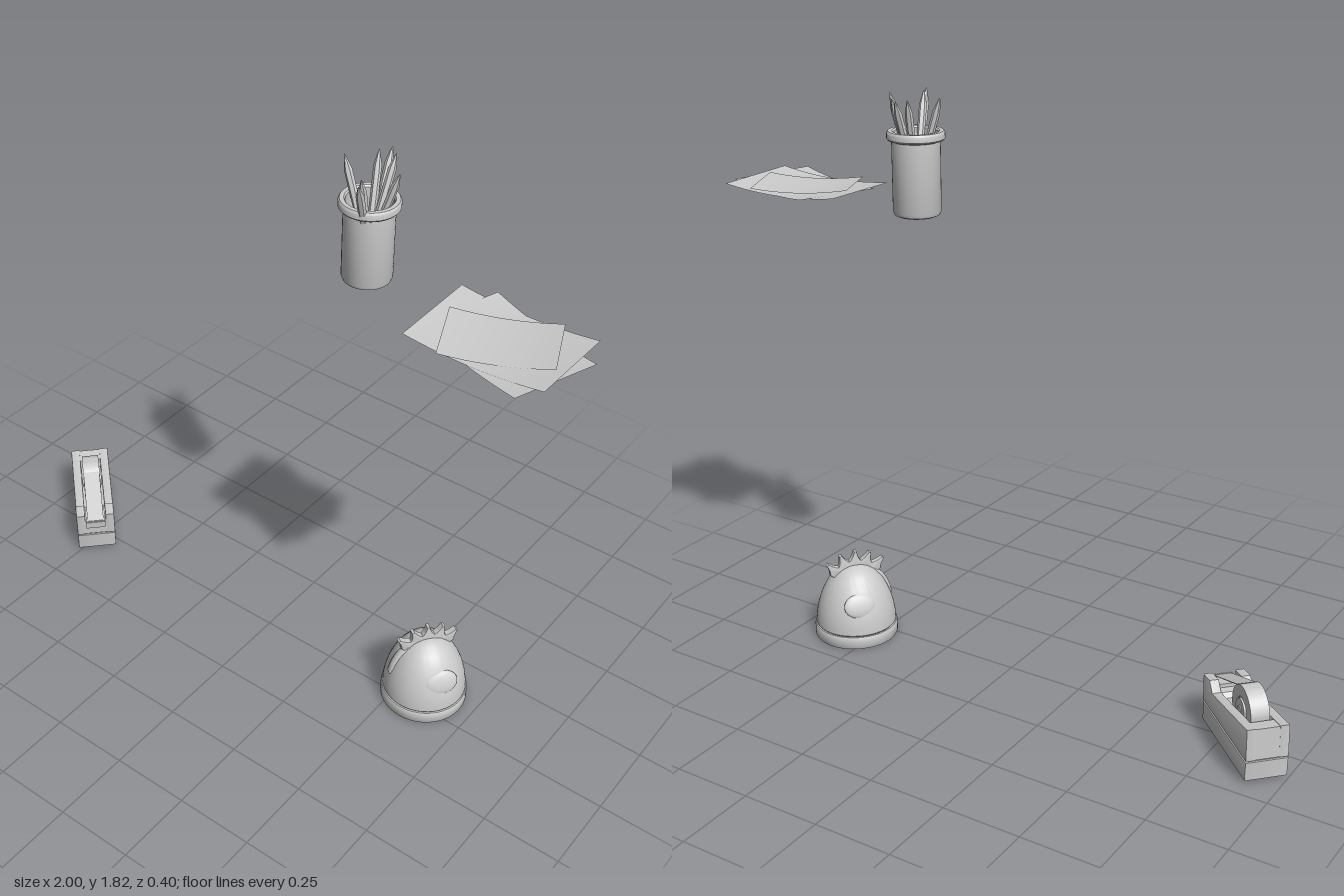
import * as THREE from 'three';
import { toCreasedNormals } from 'three/addons/utils/BufferGeometryUtils.js';

const material = new THREE.MeshStandardMaterial({ color: 0xcccccc });
const thin = new THREE.MeshStandardMaterial({ color: 0xcccccc, side: THREE.DoubleSide });
const v2 = ([x, y]) => new THREE.Vector2(x, y);

function add(parent, name, geometry, pos = [0, 0, 0], mat = material) {
  const mesh = new THREE.Mesh(geometry, mat);
  mesh.name = name;
  mesh.position.set(...pos);
  parent.add(mesh);
  return mesh;
}

function subgroup(parent, name, pos, turn = 0) {
  const g = new THREE.Group();
  g.name = name;
  g.position.set(...pos);
  g.rotation.y = turn;
  parent.add(g);
  return g;
}

const lathe = (points, n = 40) => toCreasedNormals(new THREE.LatheGeometry(points.map(v2), n), 0.6);

// Side profile extruded to a width centred on z = 0
function slab(shape, width, bevel = 0) {
  const g = new THREE.ExtrudeGeometry(shape, {
    depth: width - 2 * bevel, bevelEnabled: bevel > 0, bevelSize: bevel, bevelOffset: -bevel,
    bevelThickness: bevel, bevelSegments: 2, curveSegments: 10,
  });
  g.translate(0, 0, -width / 2 + bevel);
  return toCreasedNormals(g, 0.6);
}
const poly = (points) => new THREE.Shape(points.map(v2));

// Tape dispenser: local +x is the cutting end
function tapeDispenser(root) {
  const g = subgroup(root, 'tapeDispenser', [-0.828, 0, -0.035], -0.765);
  add(g, 'dispenserBase', slab(poly([[-0.174, 0.013], [0.168, 0.013], [0.172, 0.072], [-0.176, 0.072]]), 0.131, 0.003));
  add(g, 'dispenserSeam', new THREE.BoxGeometry(0.335, 0.012, 0.122), [-0.002, 0.075, 0]);
  add(g, 'dispenserFloor', slab(poly([[-0.174, 0.077], [0.17, 0.077], [0.17, 0.09], [-0.174, 0.09]]), 0.126));
  const wall = poly([[-0.176, 0.077], [0.172, 0.077], [0.176, 0.162], [0.125, 0.168], [0.1, 0.138],
    [0.06, 0.143], [-0.173, 0.178]]);
  for (const s of [-1, 1]) add(g, 'dispenserWall', slab(wall, 0.03, 0.003), [0, 0, s * 0.0505]);
  add(g, 'dispenserBack', slab(poly([[-0.175, 0.08], [-0.123, 0.08], [-0.123, 0.169], [-0.172, 0.176]]), 0.08));
  add(g, 'dispenserFront', slab(poly([[0.075, 0.08], [0.172, 0.08], [0.174, 0.14], [0.1, 0.137], [0.085, 0.125]]), 0.08));

  // Cutter blade holder
  add(g, 'cutter', slab(poly([[0.125, 0.135], [0.174, 0.112], [0.19, 0.118], [0.192, 0.144], [0.125, 0.15]]), 0.066));
  const teeth = 10;
  for (let i = 0; i < teeth; i++) {
    const tooth = add(g, 'cutterTooth', new THREE.ConeGeometry(0.004, 0.008, 4), [0.19, 0.146, (i - (teeth - 1) / 2) * 0.0062]);
    tooth.rotation.z = -0.4;
  }

  // Tape roll with open core and hub
  const roll = lathe([[0.038, -0.029], [0.073, -0.029], [0.073, 0.029], [0.038, 0.029], [0.038, -0.029]], 48);
  roll.rotateX(Math.PI / 2);
  add(g, 'tapeRoll', roll, [-0.04, 0.162, 0]);
  const hub = lathe([[0.014, -0.034], [0.034, -0.034], [0.034, -0.028], [0.038, -0.026], [0.038, 0.026],
    [0.034, 0.028], [0.034, 0.034], [0.014, 0.034], [0.014, -0.034]], 32);
  hub.rotateX(Math.PI / 2);
  add(g, 'rollHub', hub, [-0.04, 0.162, 0]);
  const axle = new THREE.CylinderGeometry(0.014, 0.014, 0.074, 20);
  axle.rotateX(Math.PI / 2);
  add(g, 'rollAxle', axle, [-0.04, 0.162, 0]);
  // Loose tape from the roll to the cutter
  add(g, 'tapeStrip', slab(poly([[0.006, 0.217], [0.186, 0.145], [0.186, 0.147], [0.007, 0.219]]), 0.056));
}

// Kitchen timer in the shape of a hen: local +x is the tail, -x the face
function henTimer(root) {
  const g = subgroup(root, 'henTimer', [0.575, 0, -0.0625], 0.93);
  add(g, 'timerBase', lathe([[0, 0], [0.135, 0], [0.137, 0.004], [0.137, 0.036], [0.134, 0.041], [0, 0.041]], 56));
  add(g, 'timerDome', lathe([[0.126, 0.038], [0.132, 0.046], [0.131, 0.07], [0.126, 0.1], [0.118, 0.13], [0.106, 0.16],
    [0.09, 0.19], [0.068, 0.218], [0.044, 0.236], [0.022, 0.244], [0, 0.246]], 56));

  // Comb with five fanned spikes
  const comb = new THREE.Shape();
  const spikes = 5;
  const at = (i, r) => {
    const a = Math.PI / 2 + 0.92 - (i / spikes) * 1.84;
    return [Math.cos(a) * r * 1.02, 0.155 + Math.sin(a) * r];
  };
  comb.moveTo(...at(0, 0.07));
  comb.lineTo(...at(0, 0.108));
  for (let i = 0; i < spikes; i++) {
    comb.quadraticCurveTo(...at(i + 0.25, 0.113), ...at(i + 0.38, 0.138));
    comb.lineTo(...at(i + 0.55, 0.138));
    comb.quadraticCurveTo(...at(i + 0.72, 0.113), ...at(i + 1, 0.106));
  }
  comb.lineTo(...at(spikes, 0.07));
  comb.closePath();
  add(g, 'comb', slab(comb, 0.022, 0.004));

  // Beak ridge running down the face
  const ridge = new THREE.CatmullRomCurve3([[-0.06, 0.222], [-0.09, 0.19], [-0.107, 0.158], [-0.116, 0.125]]
    .map(([x, y]) => new THREE.Vector3(x, y, 0)));
  const beak = new THREE.TubeGeometry(ridge, 16, 0.009, 10);
  beak.scale(1, 1, 1.5);
  add(g, 'beak', beak);
  add(g, 'beakTip', new THREE.SphereGeometry(0.011, 14, 10), [-0.115, 0.125, 0]).scale.set(0.8, 1, 1.2);

  // Shallow wings on both sides
  for (const s of [-1, 1]) {
    const wing = add(g, 'wing', new THREE.SphereGeometry(0.05, 24, 16), [0.015, 0.142, s * 0.104]);
    wing.scale.set(1.05, 0.8, 0.24);
    wing.rotation.x = -s * 0.38;
  }
}

// Pencil pot with rolled rim, recessed foot and pencils
function pencilPot(root) {
  const g = subgroup(root, 'pencilPot', [0.295, 1.463, -0.055]);
  add(g, 'pot', lathe([[0, 0.012], [0.05, 0.012], [0.052, 0], [0.06, 0], [0.068, 0.004], [0.072, 0.014], [0.072, 0.222],
    [0.082, 0.225], [0.086, 0.23], [0.086, 0.246], [0.082, 0.252], [0.07, 0.252], [0.066, 0.247], [0.064, 0.022], [0, 0.022]]));
  const tips = [[-0.088, 0], [0.092, 0.002], [0.045, 0.122], [0.03, 0.088], [-0.01, -0.113], [-0.03, -0.08], [0.02, -0.088]];
  for (const [x, z] of tips) {
    const foot = new THREE.Vector3(-0.22 * x, 0.026, -0.22 * z);
    const tip = new THREE.Vector3(x, 0.355, z);
    const len = foot.distanceTo(tip);
    const geo = new THREE.LatheGeometry([[0, 0], [0.0115, 0], [0.0115, len - 0.045], [0.003, len - 0.008], [0, len]].map(v2), 6);
    const pencil = add(g, 'pencil', toCreasedNormals(geo, 0.3), foot.toArray());
    pencil.quaternion.setFromUnitVectors(new THREE.Vector3(0, 1, 0), tip.sub(foot).normalize());
  }
}

// Loose, gently curled sheets: [x, y, z, turn, length, width, curl]
function paperSheets(root) {
  const g = subgroup(root, 'paperSheets', [0, 0, 0]);
  const sheets = [
    [0.776, 1.475, 0.01, -0.33, 0.39, 0.27, 0.012],
    [0.755, 1.478, 0.0, 0, 0.42, 0.285, 0.016],
    [0.759, 1.482, 0.005, 0.41, 0.305, 0.215, 0.012],
  ];
  for (const [x, y, z, turn, length, width, curl] of sheets) {
    const geo = new THREE.PlaneGeometry(length, width, 16, 8);
    geo.rotateX(-Math.PI / 2);
    const p = geo.attributes.position;
    for (let i = 0; i < p.count; i++) {
      const u = p.getX(i) / length * 2, w = p.getZ(i) / width * 2;
      p.setY(i, curl * u * u + 0.002 * u * w);
    }
    geo.computeVertexNormals();
    add(g, 'paper', geo, [x, y, z], thin).rotation.y = turn;
  }
}

export function createModel() {
  const root = new THREE.Group();
  root.name = 'deskItems';
  tapeDispenser(root);
  henTimer(root);
  pencilPot(root);
  paperSheets(root);
  return root;
}
